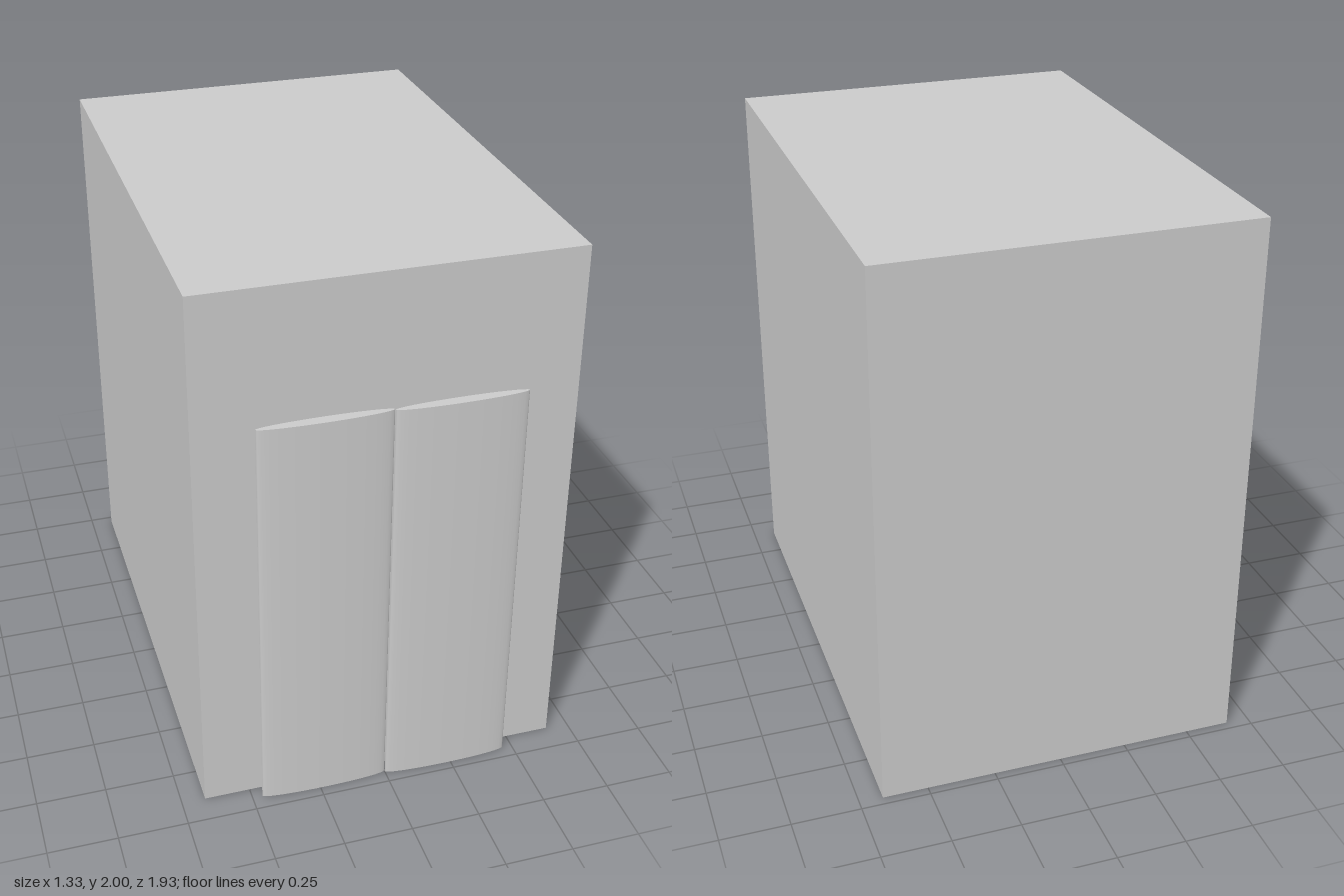
import * as THREE from 'three';

export function createModel() {
  const group = new THREE.Group();
  const material = new THREE.MeshStandardMaterial({ color: 0xcccccc });

  // Main cabin block, set back behind the doors
  const back = -0.967, front = 0.897;
  const cabin = new THREE.Mesh(new THREE.BoxGeometry(1.33, 2, front - back), material);
  cabin.name = 'cabin';
  cabin.position.set(0, 1, (front + back) / 2);
  group.add(cabin);

  // Two thin doors with a flattened elliptical section, slightly staggered in depth
  const height = 1.532, halfWidth = 0.232, halfDepth = 0.0195;
  for (const [name, side, z] of [['rightDoor', -1, 0.942], ['leftDoor', 1, 0.9475]]) {
    const geometry = new THREE.CylinderGeometry(1, 1, height, 32);
    geometry.scale(halfWidth, 1, halfDepth);
    const door = new THREE.Mesh(geometry, material);
    door.name = name;
    door.position.set(side * halfWidth, height / 2, z);
    group.add(door);
  }

  return group;
}
